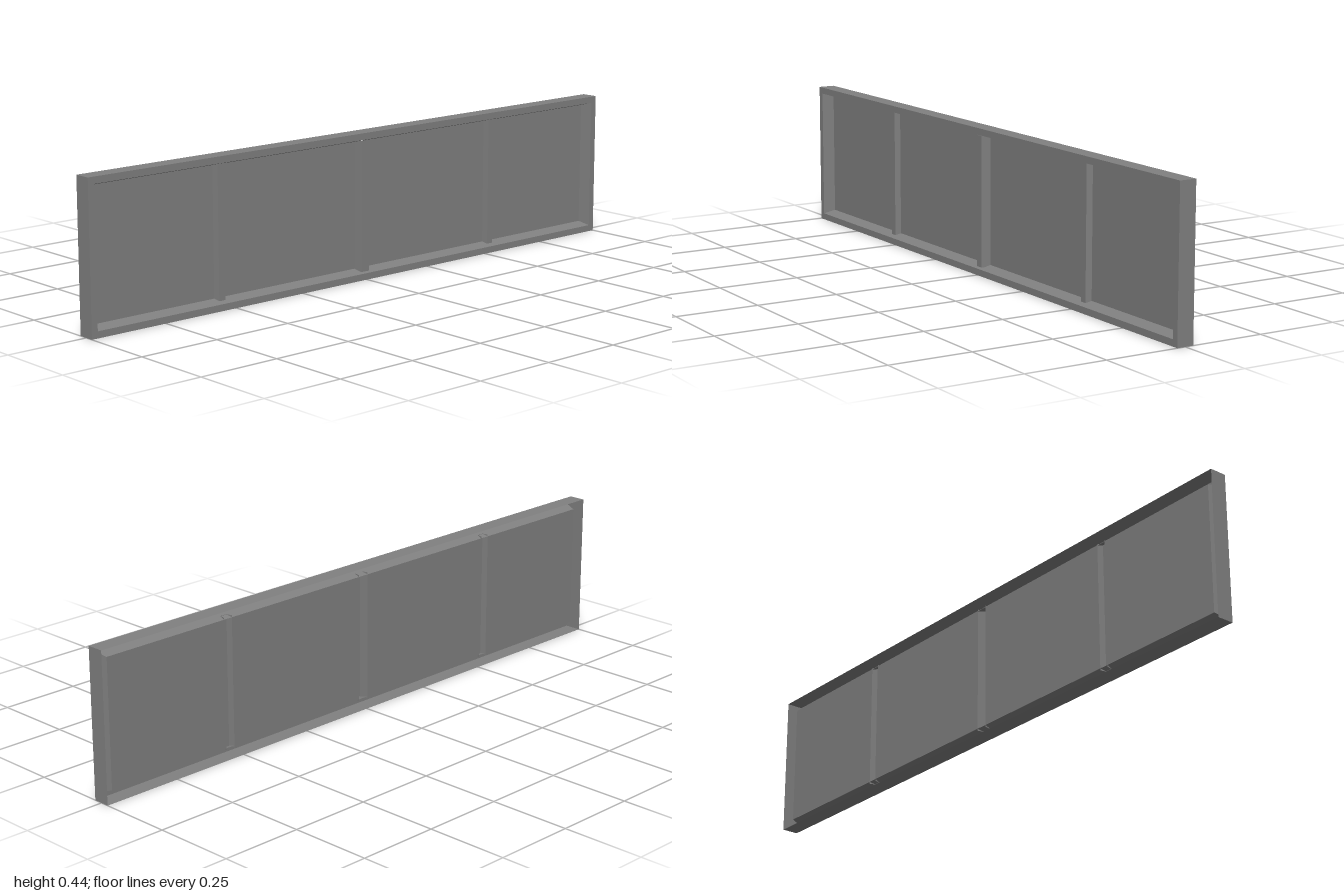
import * as THREE from 'three';

// Pressed sheet-metal panel: folded rim open at the back, recessed sheets and hollow ribs
export function createModel() {
  const model = new THREE.Group();
  const steel = new THREE.MeshStandardMaterial({ color: 0x808080, side: THREE.DoubleSide });
  steel.name = 'grey steel';

  const H = 0.445, FRONT = 0.026, BACK = -0.026, SHEET = -0.01, INSET = 0.03;

  // Joins consecutive rows of points with flat quads
  function loft(name, rows, closed) {
    const pos = [];
    for (let r = 0; r + 1 < rows.length; r++) {
      const a = rows[r], b = rows[r + 1], n = a.length;
      for (let i = 0; i < (closed ? n : n - 1); i++) {
        const j = (i + 1) % n;
        pos.push(...a[i], ...a[j], ...b[j], ...a[i], ...b[j], ...b[i]);
      }
    }
    const g = new THREE.BufferGeometry();
    g.setAttribute('position', new THREE.Float32BufferAttribute(pos, 3));
    g.computeVertexNormals();
    const mesh = new THREE.Mesh(g, steel);
    mesh.name = name;
    model.add(mesh);
  }

  // Folded rim: outer wall, front lip, drafted return wall
  const ring = (inset, z) => [
    [-1 + inset, inset, z], [1 - inset, inset, z],
    [1 - inset, H - inset, z], [-1 + inset, H - inset, z],
  ];
  loft('rim', [ring(0, BACK), ring(0, FRONT), ring(0.02, FRONT), ring(INSET, SHEET)], true);

  // Ribs: hollow pressed channels, open at the back
  const ribs = [
    { x: -0.537, half: 0.015, depth: 0.018 },
    { x: 0, half: 0.018, depth: 0.028 },
    { x: 0.537, half: 0.015, depth: 0.018 },
  ];
  for (const { x, half, depth } of ribs) {
    const profile = (y) => [
      [x - half, y, SHEET], [x - half + 0.004, y, SHEET + depth],
      [x + half - 0.004, y, SHEET + depth], [x + half, y, SHEET],
    ];
    loft('rib', [profile(0.024), profile(H - 0.024)], false);
  }

  // Flat sheets between the ribs
  let left = -1 + INSET;
  for (const { x, half } of [...ribs, { x: 1 - INSET, half: 0 }]) {
    const right = x - half;
    const row = (y) => [[left, y, SHEET], [right, y, SHEET]];
    loft('sheet', [row(INSET), row(H - INSET)], false);
    left = x + half;
  }

  return model;
}
